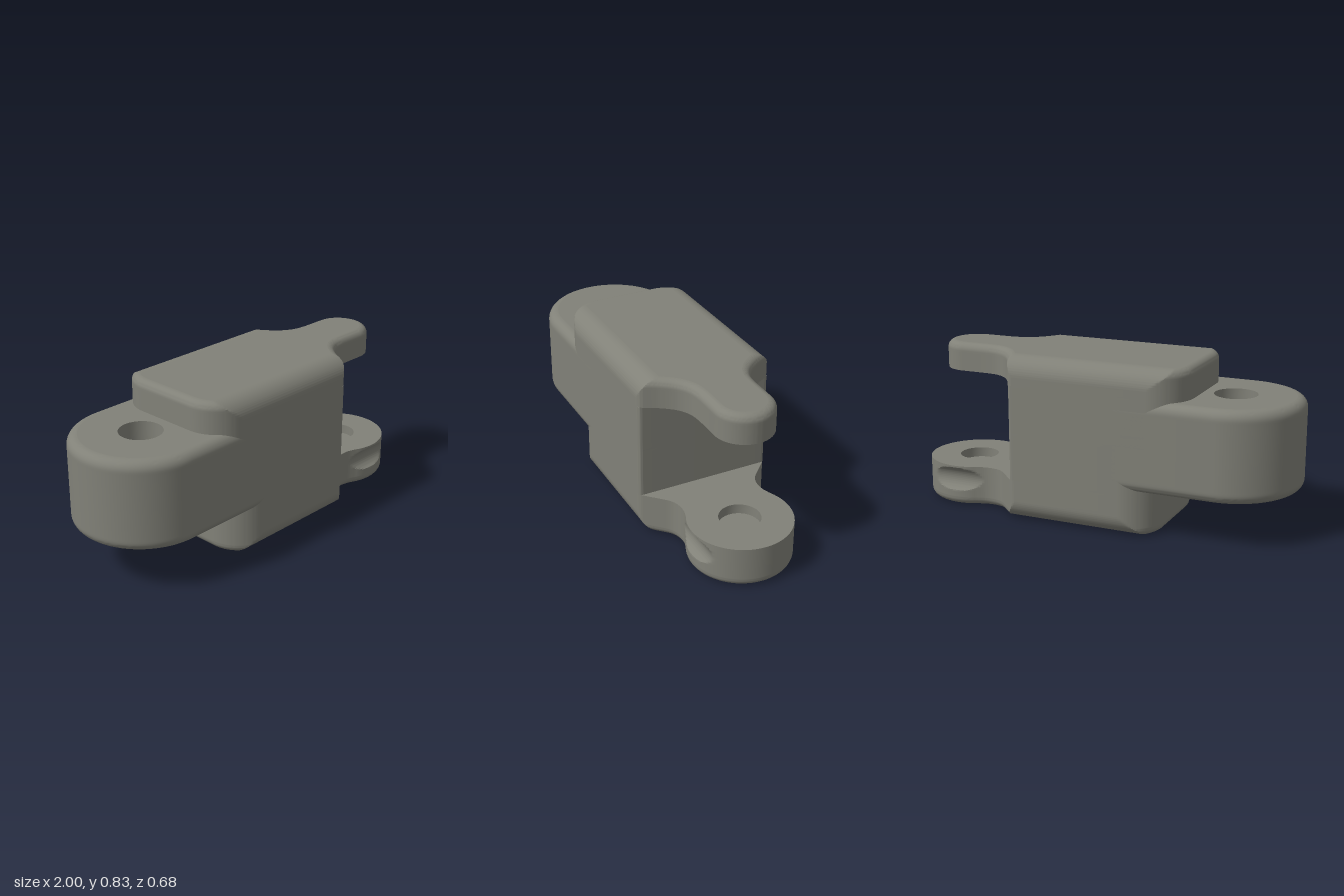
import * as THREE from 'three';
import { mergeGeometries, toCreasedNormals } from 'three/addons/utils/BufferGeometryUtils.js';

const H = 0.827, W = 0.34; // overall height, half width
const PI = Math.PI;
const material = new THREE.MeshStandardMaterial({ color: 0x818178 });

// Closed outline from a half path (left to right, z >= 0), mirrored across z = 0
function mirrored(draw) {
  const path = new THREE.Path();
  draw(path);
  const half = path.getPoints(16).filter((p, i, a) => !i || p.distanceTo(a[i - 1]) > 1e-4);
  const back = half.slice(1, -1).reverse().map(p => new THREE.Vector2(p.x, -p.y));
  return half.concat(back);
}

// Mitred outward direction at every outline point
function outward(pts) {
  const n = pts.length;
  const side = (a, b) => new THREE.Vector2(a.y - b.y, b.x - a.x).normalize();
  return pts.map((p, i) => {
    const n1 = side(pts[(i + n - 1) % n], p), n2 = side(p, pts[(i + 1) % n]);
    return n1.clone().add(n2).divideScalar(Math.max(0.4, 1 + n1.dot(n2)));
  });
}

// Large rounding along the long edges of the body
function bodyLimit(x, y) {
  const d = Math.min(y, H - y);
  return d < 0.1 ? W - 0.1 + Math.sqrt(Math.max(0, 0.01 - (0.1 - d) ** 2)) : W;
}

// Body rounding plus the round side grooves of the lower lug
function lugLimit(x, y) {
  const dy = y - 0.136, r = 0.066;
  const groove = x > 0.57 && Math.abs(dy) < r ? 0.278 - Math.sqrt(r * r - dy * dy) : W;
  return Math.min(bodyLimit(x, y), groove);
}

// Plate with filleted rims and an optional hole (top / bottom say where it opens)
function plate(name, pts, y0, y1, { f0 = 0, f1 = 0, limit = () => W, hole } = {}) {
  const dirs = outward(pts), n = pts.length, levels = [];
  const K = 8, M = 36;
  for (let k = 0; f0 && k < K; k++) {
    const t = k / K * PI / 2;
    levels.push([y0 + f0 * (1 - Math.cos(t)), f0 * (1 - Math.sin(t))]);
  }
  for (let k = 0; k <= M; k++) levels.push([y0 + f0 + (y1 - f1 - y0 - f0) * k / M, 0]);
  for (let k = K - 1; f1 && k >= 0; k--) {
    const t = k / K * PI / 2;
    levels.push([y1 - f1 * (1 - Math.cos(t)), f1 * (1 - Math.sin(t))]);
  }
  const rings = levels.map(([y, inset]) => pts.map((p, i) => {
    const x = p.x - dirs[i].x * inset, z = p.y - dirs[i].y * inset, m = limit(x, y);
    return new THREE.Vector3(x, y, THREE.MathUtils.clamp(z, -m, m));
  }));

  // side wall
  const index = [];
  for (let r = 0; r < rings.length - 1; r++)
    for (let i = 0; i < n; i++) {
      const a = r * n + i, b = r * n + (i + 1) % n;
      index.push(a, b, b + n, a, b + n, a + n);
    }
  const wall = new THREE.BufferGeometry().setFromPoints(rings.flat());
  wall.setIndex(index);
  const pieces = [wall];

  // caps
  const cap = (ring, y, up, open) => {
    const shape = new THREE.Shape(ring.map(v => new THREE.Vector2(v.x, v.z)));
    if (open) shape.holes.push(new THREE.Path(Array.from({ length: 32 }, (_, i) => new THREE.Vector2(
      hole.x + hole.r * Math.cos(i * PI / 16), hole.r * Math.sin(i * PI / 16)))));
    pieces.push(new THREE.ShapeGeometry(shape).rotateX(up ? -PI / 2 : PI / 2).translate(0, y, 0));
  };
  cap(rings[0], y0, false, hole?.bottom);
  cap(rings[rings.length - 1], y1, true, hole?.top);

  // inside of the hole, with a floor when blind
  if (hole) {
    const lo = hole.bottom ? y0 : y1 - hole.depth, hi = hole.top ? y1 : y0 + hole.depth;
    pieces.push(new THREE.CylinderGeometry(hole.r, hole.r, hi - lo, 32, 1, true)
      .rotateY(PI / 2).scale(-1, 1, 1).translate(hole.x, (lo + hi) / 2, 0));
    if (!(hole.top && hole.bottom))
      pieces.push(new THREE.CircleGeometry(hole.r, 32).rotateX(hole.top ? -PI / 2 : PI / 2)
        .translate(hole.x, hole.top ? lo : hi, 0));
  }
  const geometry = mergeGeometries(pieces.map(g => {
    g.deleteAttribute('uv');
    return toCreasedNormals(g, 0.6);
  }));
  const mesh = new THREE.Mesh(geometry, material);
  mesh.name = name;
  return mesh;
}

// Rounded end of the body starting at x
function bodyEnd(p, x, r = 0.18) {
  p.moveTo(x, 0);
  p.lineTo(x, W - r);
  p.absarc(x + r, W - r, r, PI, PI / 2, true);
}

// Body block with a flat right face
const block = x => mirrored(p => {
  bodyEnd(p, x);
  p.lineTo(0.365, W);
  p.absarc(0.365, W - 0.02, 0.02, PI / 2, 0, true);
  p.lineTo(0.385, 0);
});
const spline = (p, list) => p.splineThru(list.map(([x, z]) => new THREE.Vector2(x, z)));

export function createModel() {
  const group = new THREE.Group();
  group.name = 'chainLink';

  // thick eye on the left, its root tapering inside the body
  const eye = mirrored(p => {
    p.moveTo(-1, 0);
    p.absarc(-0.66, 0, W, PI, PI / 2, true);
    p.lineTo(-0.17, W);
    p.lineTo(-0.1, 0.28);
    p.lineTo(-0.1, 0);
  });
  group.add(plate('eye', eye, 0.228, 0.675,
    { f0: 0.05, f1: 0.05, hole: { x: -0.663, r: 0.105, top: true, bottom: true } }));

  // middle of the body
  group.add(plate('lowerCore', block(-0.37), 0.207, 0.45));
  group.add(plate('upperCore', block(-0.51), 0.45, 0.685));

  // top of the body with its narrow arm, recessed underneath
  const top = mirrored(p => {
    bodyEnd(p, -0.51);
    p.lineTo(0.355, W);
    p.quadraticCurveTo(0.383, W, 0.395, 0.312);
    spline(p, [[0.43, 0.25], [0.48, 0.19], [0.54, 0.155], [0.61, 0.145]]);
    p.lineTo(0.743, 0.145);
    p.absarc(0.743, 0, 0.145, PI / 2, 0, true);
  });
  group.add(plate('upperArm', top, 0.685, H,
    { f1: 0.04, limit: bodyLimit, hole: { x: 0.745, r: 0.1, bottom: true, depth: 0.05 } }));

  // bottom of the body with its round grooved lug
  const bottom = mirrored(p => {
    bodyEnd(p, -0.37);
    p.lineTo(0.355, W);
    p.quadraticCurveTo(0.376, W, 0.393, 0.322);
    spline(p, [[0.44, 0.275], [0.485, 0.232], [0.52, 0.214], [0.56, 0.208], [0.597, 0.211], [0.635, 0.2229]]);
    p.absarc(0.748, 0, 0.25, PI - Math.atan2(0.2229, 0.113), 0, true);
  });
  group.add(plate('lowerLug', bottom, 0, 0.207,
    { f0: 0.04, limit: lugLimit, hole: { x: 0.745, r: 0.1, top: true, depth: 0.05 } }));

  return group;
}
